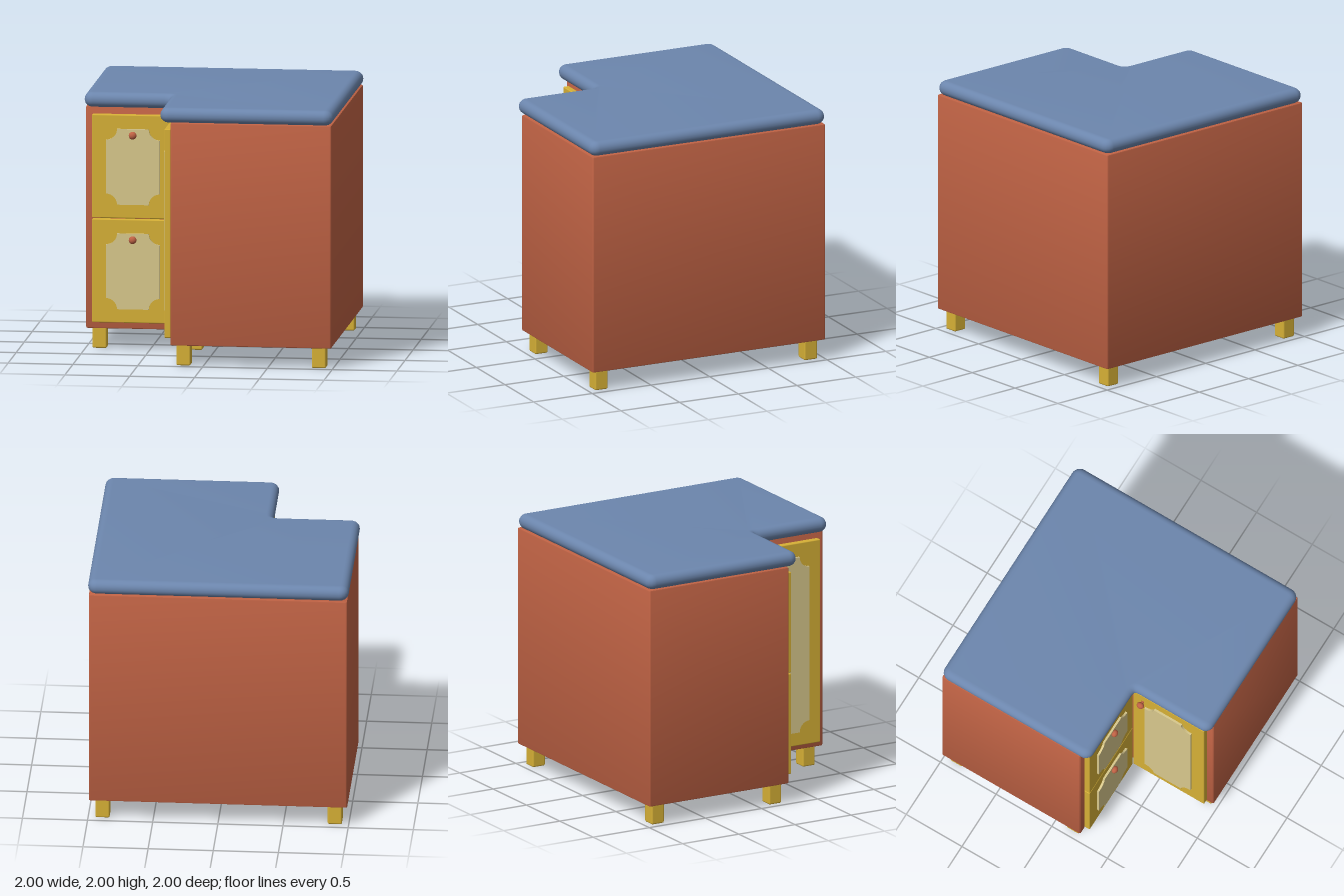
import * as THREE from 'three';
import { toCreasedNormals } from 'three/addons/utils/BufferGeometryUtils.js';
import { RoundedBoxGeometry } from 'three/addons/geometries/RoundedBoxGeometry.js';

const material = (name, color) => {
  const m = new THREE.MeshStandardMaterial({ color });
  m.name = name;
  return m;
};

// L-shaped slab: 'half' is the outer half size, 'notch' the inner corner offset
function slab(half, notch, y0, y1, bevel, steps, outerR, innerR) {
  const o = half - bevel, n = notch - bevel;
  const pts = [[-o, o], [-o, -n], [-n, -n], [-n, -o], [o, -o], [o, o]]
    .map(([x, y]) => new THREE.Vector2(x, y));
  const shape = new THREE.Shape();
  pts.forEach((p, i) => {
    const r = i === 2 ? innerR : outerR;
    const toward = (q) => p.clone().add(q.clone().sub(p).setLength(r));
    const a = toward(pts[(i + 5) % 6]), b = toward(pts[(i + 1) % 6]);
    if (i === 0) shape.moveTo(a.x, a.y); else shape.lineTo(a.x, a.y);
    shape.quadraticCurveTo(p.x, p.y, b.x, b.y);
  });
  shape.closePath();
  const geo = new THREE.ExtrudeGeometry(shape, {
    depth: y1 - y0 - 2 * bevel, bevelEnabled: true, bevelSize: bevel,
    bevelThickness: bevel, bevelSegments: steps, curveSegments: 5,
  });
  geo.rotateX(-Math.PI / 2).translate(0, y0 + bevel, 0);
  return toCreasedNormals(geo, 0.7);
}

// Raised panel with scooped corners
function panelGeometry(w, h, depth) {
  const x = w / 2, y = h / 2, r = 0.085, s = new THREE.Shape();
  s.moveTo(-x + r, -y);
  s.lineTo(x - r, -y);
  s.absarc(x, -y, r, Math.PI, Math.PI / 2, true);
  s.lineTo(x, y - r);
  s.absarc(x, y, r, Math.PI * 1.5, Math.PI, true);
  s.lineTo(-x + r, y);
  s.absarc(-x, y, r, 0, -Math.PI / 2, true);
  s.lineTo(-x, -y + r);
  s.absarc(-x, -y, r, Math.PI / 2, 0, true);
  return toCreasedNormals(new THREE.ExtrudeGeometry(s,
    { depth, bevelEnabled: false, curveSegments: 10 }), 0.5);
}

export function createModel() {
  const model = new THREE.Group();
  model.name = 'cornerCabinet';
  const blue = material('blue worktop', 0x6c86ad);
  const red = material('terracotta', 0xbf6244);
  const yellow = material('golden yellow', 0xd6b036);
  const cream = material('pale panel', 0xd8c88c);

  const add = (parent, name, geo, mat, x = 0, y = 0, z = 0) => {
    const mesh = new THREE.Mesh(geo, mat);
    mesh.name = name;
    mesh.position.set(x, y, z);
    parent.add(mesh);
    return mesh;
  };

  // Carcass and rounded worktop
  add(model, 'cabinetBody', slab(0.992, 0.25, 0.16, 1.887, 0.01, 2, 0.004, 0.004), red);
  add(model, 'worktop', slab(1, 0.333, 1.884, 2, 0.057, 7, 0.015, 0.1), blue);

  // Feet under every corner of the L
  const footGeo = new RoundedBoxGeometry(0.11, 0.17, 0.11, 2, 0.012);
  [[-0.893, -0.89], [0.89, -0.89], [0.89, 0.893], [-0.155, 0.893],
    [-0.893, 0.155], [-0.155, 0.155]].forEach(([x, z]) =>
    add(model, 'foot', footGeo, yellow, x, 0.085, z));

  // Door or drawer front, facing local +z with its back at z = 0
  const front = (name, h, panelH, knobX, knobY, knobZ) => {
    const g = new THREE.Group();
    g.name = name;
    add(g, 'frame', new RoundedBoxGeometry(0.635, h, 0.05, 2, 0.008), yellow, 0, 0, 0.028);
    add(g, 'panel', panelGeometry(0.415, panelH, 0.02), cream, 0, 0, 0.05);
    const stem = add(g, 'knobStem', new THREE.CylinderGeometry(0.012, 0.012, 0.06, 12),
      red, knobX, knobY, knobZ - 0.03);
    stem.rotation.x = Math.PI / 2;
    const knob = add(g, 'knob', new THREE.SphereGeometry(0.03, 20, 14), red, knobX, knobY, knobZ);
    knob.scale.z = 0.82;
    model.add(g);
    return g;
  };
  for (const y of [0.616, 1.427]) {
    front('drawer', 0.803, 0.587, 0, 0.247, 0.085).position.set(-0.622, y, 0.25);
  }
  const door = front('sideDoor', 1.62, 1.4, -0.23, 0.7, 0.09);
  door.position.set(-0.25, 1.02, 0.622);
  door.rotation.y = -Math.PI / 2;

  return model;
}
